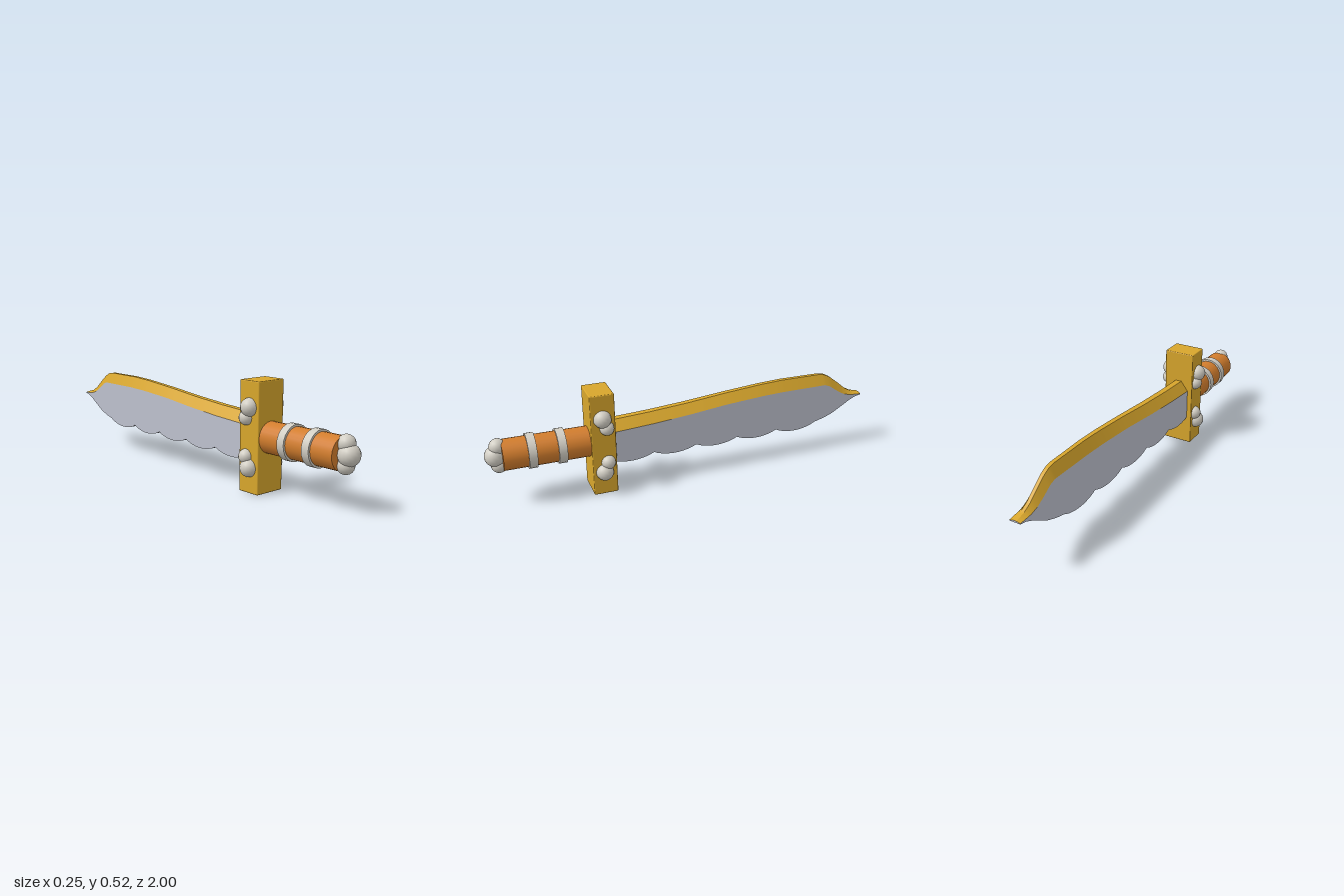
import * as THREE from 'three';
import { RoundedBoxGeometry } from 'three/addons/geometries/RoundedBoxGeometry.js';

const paint = (name, color) => {
  const m = new THREE.MeshStandardMaterial({ color });
  m.name = name;
  return m;
};

// Blade profiles as [z, y], running from the guard to the tip
const SPINE = [[0.42, 0.358], [0.2, 0.37], [0, 0.386], [-0.2, 0.407], [-0.4, 0.424], [-0.52, 0.43], [-0.74, 0.43],
  [-0.775, 0.424], [-0.81, 0.406], [-0.86, 0.368], [-0.91, 0.327], [-0.95, 0.306], [-1, 0.294]];
const SHOULDER = [[0.42, 0.308], [0.2, 0.32], [0, 0.336], [-0.2, 0.357], [-0.4, 0.37], [-0.52, 0.374], [-0.77, 0.374],
  [-0.8, 0.363], [-0.85, 0.329], [-0.89, 0.306], [-0.93, 0.294], [-1, 0.289]];
const TIP_EDGE = [[-0.715, 0.167], [-0.78, 0.184], [-0.83, 0.203], [-0.88, 0.232], [-0.93, 0.262], [-0.97, 0.28], [-1, 0.285]];

function sample(points, z) {
  let i = 0;
  while (i < points.length - 2 && z < points[i + 1][0]) i++;
  const [z0, y0] = points[i], [z1, y1] = points[i + 1];
  return y0 + (y1 - y0) * (z - z0) / (z1 - z0);
}

// Cutting edge: five shallow scallops, then a sweep up to the tip
const cuttingEdge = z => z < -0.715
  ? sample(TIP_EDGE, z)
  : 0.167 - 0.027 * Math.abs(Math.sin(Math.PI * (z - 0.193) / 0.227)) ** 0.7;

// Six corners of the blade's cross-section, clockwise from the spine
function section(z) {
  const k = (0.42 - z) / 1.42;
  const w = 0.056 - 0.028 * k, t = 0.017 - 0.009 * k;
  const top = sample(SPINE, z), mid = sample(SHOULDER, z), low = cuttingEdge(z);
  return [[-t, top, z], [t, top, z], [w, mid, z], [w, low, z], [-w, low, z], [-w, mid, z]];
}

// A lengthwise face between two neighbouring corners
function strip(sections, i) {
  const pos = [], idx = [];
  sections.forEach((s, n) => {
    pos.push(...s[i], ...s[(i + 1) % 6]);
    if (n) {
      const a = 2 * n - 2;
      idx.push(a, a + 1, a + 3, a, a + 3, a + 2);
    }
  });
  const g = new THREE.BufferGeometry();
  g.setAttribute('position', new THREE.Float32BufferAttribute(pos, 3));
  g.setIndex(idx);
  g.computeVertexNormals();
  return g;
}

export function createModel() {
  const gold = paint('gold', 0xd8a62c);
  const steel = paint('steel', 0xbec1ce);
  const leather = paint('orange grip', 0xd27d2d);
  const ivory = paint('ivory', 0xd2cec4);
  const model = new THREE.Group();
  model.name = 'dagger';

  const add = (name, geometry, material, x = 0, y = 0, z = 0, parent = model) => {
    const mesh = new THREE.Mesh(geometry, material);
    mesh.name = name;
    mesh.position.set(x, y, z);
    parent.add(mesh);
    return mesh;
  };
  const ball = (name, r, x, y, z) => add(name, new THREE.SphereGeometry(r, 16, 12), ivory, x, y, z);

  // Blade: gold spine and bevels, steel flanks and edge
  const blade = new THREE.Group();
  blade.name = 'blade';
  model.add(blade);
  const sections = [];
  for (let n = 0; n <= 142; n++) sections.push(section(0.42 - n * 0.01));
  const names = ['spine', 'leftBevel', 'leftFlank', 'cuttingEdge', 'rightFlank', 'rightBevel'];
  names.forEach((name, i) => add(name, strip(sections, i), i < 2 || i === 5 ? gold : steel, 0, 0, 0, blade));

  // Blunt end of the tip
  const cap = new THREE.BufferGeometry();
  cap.setAttribute('position', new THREE.Float32BufferAttribute(sections.at(-1).flat(), 3));
  cap.setIndex([0, 1, 2, 0, 2, 3, 0, 3, 4, 0, 4, 5]);
  cap.computeVertexNormals();
  add('tipEnd', cap, steel, 0, 0, 0, blade);

  // Guard
  add('guard', new RoundedBoxGeometry(0.16, 0.52, 0.12, 2, 0.005), gold, 0, 0.26, 0.45);

  // Pairs of studs on both sides of the guard, above and below the grip
  for (const sx of [-1, 1]) {
    for (const sy of [-1, 1]) {
      ball('largeStud', 0.043, sx * 0.08, 0.26 + sy * 0.14, 0.453);
      ball('smallStud', 0.035, sx * 0.08, 0.26 + sy * 0.09, 0.433);
    }
  }

  // Grip with two bands
  const rod = (name, r, length, z, material) => {
    add(name, new THREE.CylinderGeometry(r, r, length, 24), material, 0, 0.26, z).rotation.x = Math.PI / 2;
  };
  rod('grip', 0.075, 0.42, 0.71, leather);
  for (const z of [0.645, 0.785]) rod('gripBand', 0.085, 0.04, z, ivory);

  // Pommel knobs
  ball('pommel', 0.05, 0, 0.26, 0.95);
  for (const sy of [-1, 1]) ball('pommelKnob', 0.04, 0, 0.26 + sy * 0.046, 0.935);

  return model;
}
